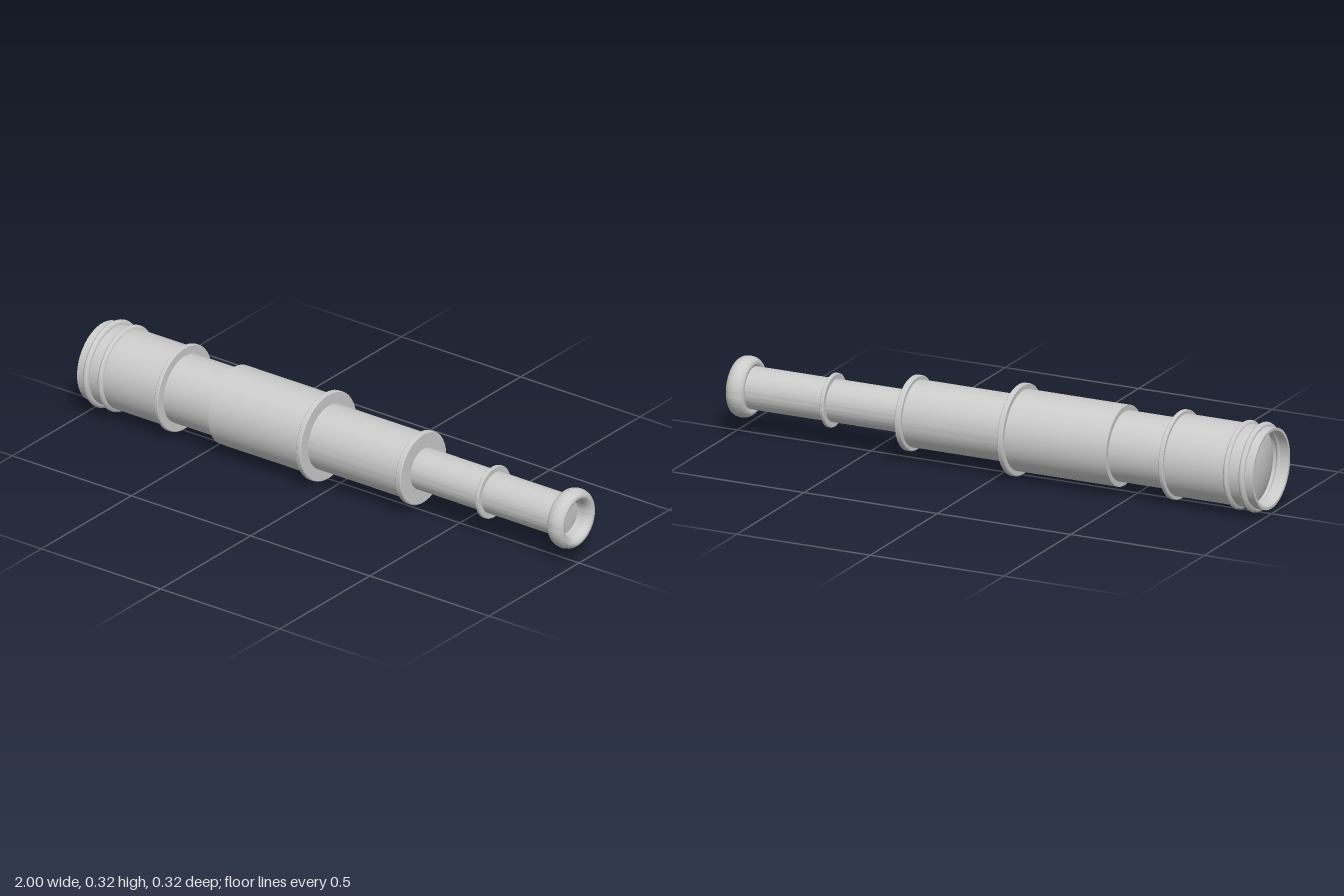
import * as THREE from 'three';
import { toCreasedNormals } from 'three/addons/utils/BufferGeometryUtils.js';

const AXIS_Y = 0.158;

export function createModel() {
  const model = new THREE.Group();
  model.name = 'spyglass';
  const material = new THREE.MeshStandardMaterial({ color: 0xcccccc, side: THREE.DoubleSide });

  // Turn a profile of [x, radius] points around the long axis
  function turned(name, profile) {
    const points = profile.map(([x, r]) => new THREE.Vector2(r, x));
    const geometry = toCreasedNormals(new THREE.LatheGeometry(points, 72), 0.6);
    geometry.rotateZ(-Math.PI / 2);
    const mesh = new THREE.Mesh(geometry, material);
    mesh.name = name;
    mesh.position.y = AXIS_Y;
    model.add(mesh);
  }

  // Closed hollow sleeve from x0 to x1
  function sleeve(name, x0, x1, outer, inner) {
    turned(name, [[x0, inner], [x0, outer], [x1, outer], [x1, inner], [x0, inner]]);
  }

  // Collar with slightly bevelled outer edges
  function collar(name, x, width, outer, inner) {
    const h = width / 2, b = 0.003;
    turned(name, [[x - h, inner], [x - h, outer - b], [x - h + b, outer],
      [x + h - b, outer], [x + h, outer - b], [x + h, inner]]);
  }

  // Ring of elliptical section
  function roundRing(name, x, r, halfWidth, halfHeight) {
    const profile = [];
    for (let i = 0; i <= 24; i++) {
      const a = Math.PI - (i / 24) * Math.PI * 2;
      profile.push([x + halfWidth * Math.cos(a), r + halfHeight * Math.sin(a)]);
    }
    turned(name, profile);
  }

  // Domed lens, bulging by the given signed depth
  function lens(name, x, radius, bulge) {
    const profile = [];
    for (let i = 0; i <= 10; i++) {
      const t = i / 10;
      profile.push([x + bulge * (1 - t * t), radius * t]);
    }
    turned(name, profile);
  }

  // Objective end with its open lip
  sleeve('objectiveBarrel', -1, -0.66, 0.14, 0.13);
  roundRing('objectiveRing', -0.96, 0.14, 0.011, 0.014);
  roundRing('objectiveRing', -0.9, 0.139, 0.01, 0.013);
  lens('objectiveLens', -0.94, 0.131, -0.025);
  collar('objectiveCollar', -0.66, 0.016, 0.153, 0.11);

  // Telescoping tubes, wide to narrow
  sleeve('frontTube', -0.665, -0.44, 0.121, 0.11);
  sleeve('gripTube', -0.45, -0.06, 0.139, 0.11);
  collar('gripCollar', -0.06, 0.02, 0.158, 0.1);
  sleeve('middleTube', -0.06, 0.335, 0.115, 0.1);
  collar('middleCollar', 0.337, 0.022, 0.129, 0.062);
  sleeve('eyeTube', 0.335, 0.965, 0.073, 0.063);
  collar('eyeTubeCollar', 0.64, 0.014, 0.093, 0.063);

  // Rounded eyepiece with a recessed lens
  roundRing('eyepiece', 0.967, 0.084, 0.033, 0.021);
  lens('eyeLens', 0.945, 0.064, 0.004);

  return model;
}
